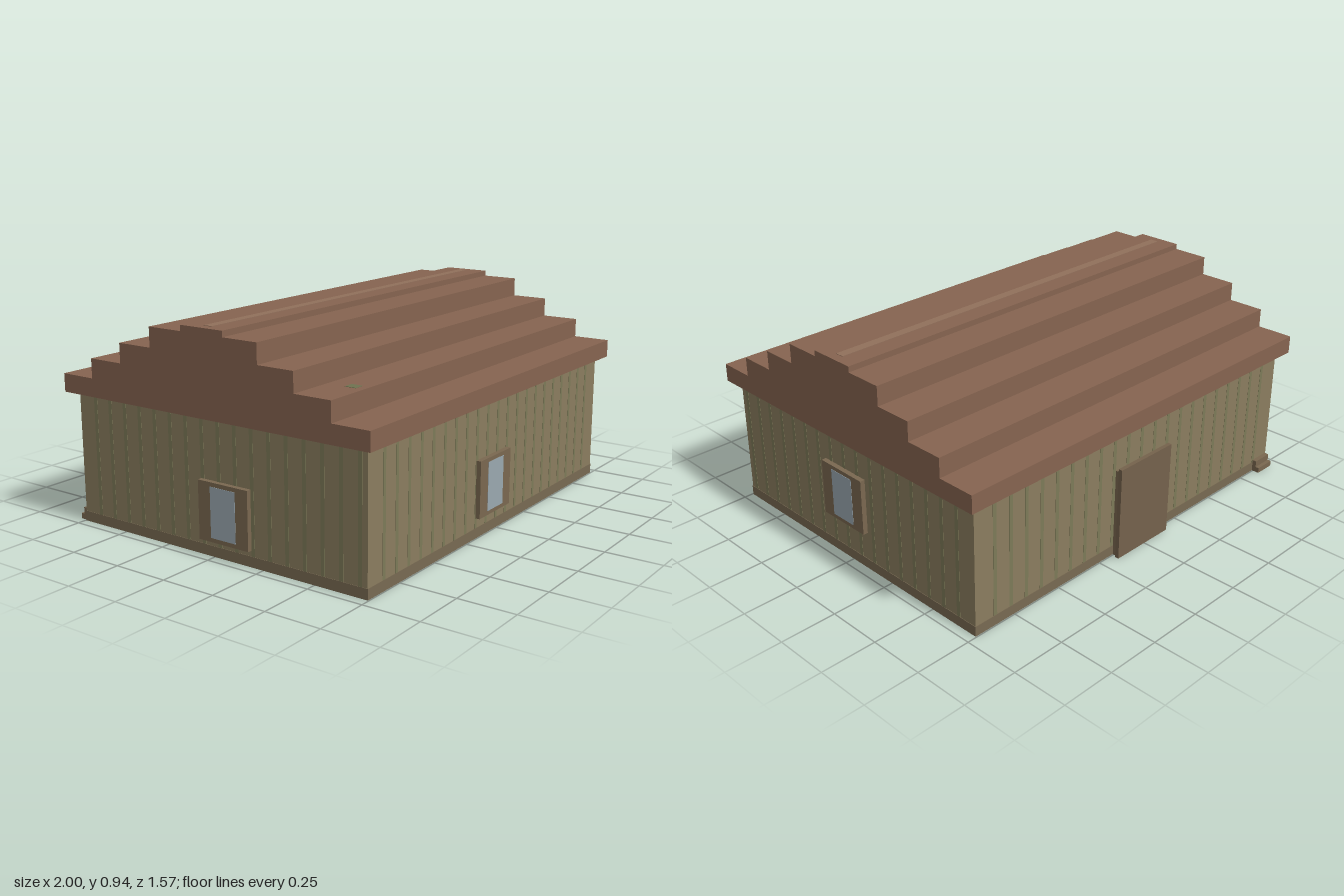
import * as THREE from 'three';

const mat = (color) => new THREE.MeshStandardMaterial({ color });
const M = {
  wall: mat(0x8b7d5f), stripe: mat(0x7d7a58), plinth: mat(0x786a52), roof: mat(0x866450),
  ridge: mat(0x91705b), frame: mat(0x7a6850), door: mat(0x75624c), glass: mat(0x9aa8b0), moss: mat(0x6f7350),
};

// Box given by its minimum and maximum on each axis
function box(parent, name, material, [x0, x1], [y0, y1], [z0, z1]) {
  const mesh = new THREE.Mesh(new THREE.BoxGeometry(x1 - x0, y1 - y0, z1 - z0), material);
  mesh.position.set((x0 + x1) / 2, (y0 + y1) / 2, (z0 + z1) / 2);
  mesh.name = name;
  parent.add(mesh);
  return mesh;
}

const WX = 0.955, WZ = 0.744, EAVES = 0.58, EDGE = 0.785;

// Window facing +z around its own origin, turned to its wall afterwards
function windowUnit(name, x, y, z, turn) {
  const g = new THREE.Group();
  g.name = name;
  box(g, 'windowFrame', M.frame, [-0.127, 0.127], [-0.125, 0.125], [-0.01, 0.022]);
  box(g, 'windowGlass', M.glass, [-0.064, 0.064], [-0.107, 0.107], [0, 0.0235]);
  g.position.set(x, y, z);
  g.rotation.y = turn;
  return g;
}

export function createModel() {
  const house = new THREE.Group();
  house.name = 'house';

  // Walls with a darker base course
  box(house, 'walls', M.wall, [-WX, WX], [0, EAVES], [-WZ, WZ]);
  box(house, 'baseCourse', M.plinth, [-WX - 0.002, WX + 0.002], [0, 0.045], [-WZ - 0.002, WZ + 0.002]);

  // Narrow vertical cladding stripes on all four walls
  const stripes = new THREE.Group();
  stripes.name = 'claddingStripes';
  house.add(stripes);
  const step = 0.085, half = 0.009, proud = 0.0012;
  for (let i = -10; i <= 10; i++) {
    const c = i * step;
    box(stripes, 'longWallStripe', M.stripe, [c - half, c + half], [0.045, EAVES], [-WZ - proud, WZ + proud]);
  }
  for (let i = -8; i <= 8; i++) {
    const c = i * step + 0.03;
    if (Math.abs(c) > WZ - half) continue;
    box(stripes, 'endWallStripe', M.stripe, [-WX - proud, WX + proud], [0.045, EAVES], [c - half, c + half]);
  }

  // Stepped roof: half profile mirrored, extruded along the length
  const steps = [[EDGE, 0.66], [0.615, 0.745], [0.445, 0.83], [0.275, 0.915], [0.107, 0.94]];
  const right = [];
  let y = EAVES;
  for (const [z, top] of steps) {
    right.push(new THREE.Vector2(z, y), new THREE.Vector2(z, top));
    y = top;
  }
  const left = right.map((p) => new THREE.Vector2(-p.x, p.y)).reverse();
  const roofGeo = new THREE.ExtrudeGeometry(new THREE.Shape([...right, ...left]), { depth: 2, bevelEnabled: false });
  roofGeo.translate(0, 0, -1).rotateY(Math.PI / 2);
  const roof = new THREE.Mesh(roofGeo, M.roof);
  roof.name = 'steppedRoof';
  house.add(roof);
  box(house, 'ridgeStrip', M.ridge, [-0.96, 0.96], [0.93, 0.942], [-0.02, 0.02]);
  box(house, 'mossPatch', M.moss, [-0.8, -0.755], [0.74, 0.7465], [0.53, 0.58]);

  // Windows on the front and both ends
  house.add(
    windowUnit('frontWindow', -0.047, 0.215, WZ, 0),
    windowUnit('leftWindow', WX, 0.3, 0.023, Math.PI / 2),
    windowUnit('rightWindow', -WX, 0.195, 0.066, -Math.PI / 2),
  );

  // Back door: inner slab with a slightly taller outer leaf
  box(house, 'doorSurround', M.frame, [-0.14, 0.16], [0, 0.405], [-0.767, -WZ + 0.01]);
  box(house, 'doorLeaf', M.door, [-0.15, 0.17], [0, 0.425], [-EDGE, -0.767]);

  // Small low step at the back corner
  box(house, 'lowerStep', M.frame, [-0.95, -0.85], [0, 0.025], [-0.782, -WZ + 0.01]);
  box(house, 'upperStep', M.frame, [-0.95, -0.85], [0.025, 0.055], [-0.765, -WZ + 0.01]);

  return house;
}
